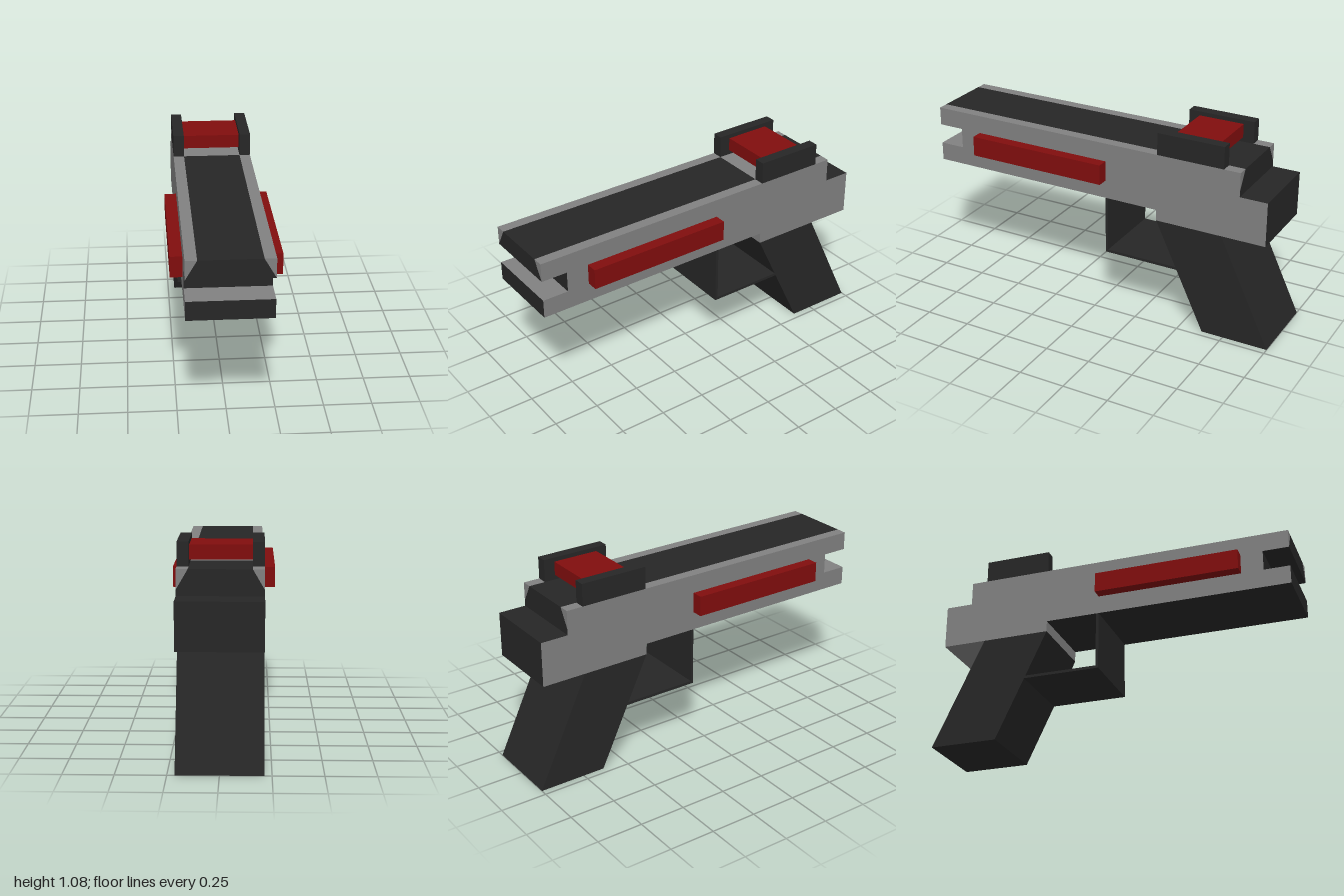
import * as THREE from 'three';

const grey = new THREE.MeshStandardMaterial({ color: 0x808080, flatShading: true });
const dark = new THREE.MeshStandardMaterial({ color: 0x262626, flatShading: true });
const red = new THREE.MeshStandardMaterial({ color: 0x800d0d, flatShading: true });
const W = 0.213; // half width of the body
const T = 0.155; // half width of the top strip

export function createModel() {
  const model = new THREE.Group();

  const add = (name, geometry, material, parent = model) => {
    const mesh = new THREE.Mesh(geometry, material);
    mesh.name = name;
    parent.add(mesh);
    return mesh;
  };

  // Box given by its limits on each axis
  const box = (name, material, [x0, x1], [y0, y1], [z0, z1]) =>
    add(name, new THREE.BoxGeometry(x1 - x0, y1 - y0, z1 - z0), material)
      .position.set((x0 + x1) / 2, (y0 + y1) / 2, (z0 + z1) / 2);

  // Outline in x and y, extruded between two depths
  const prism = (name, material, points, z0, z1) => {
    const shape = new THREE.Shape(points.map(([x, y]) => new THREE.Vector2(x, y)));
    const geometry = new THREE.ExtrudeGeometry(shape, { depth: z1 - z0, bevelEnabled: false });
    return add(name, geometry.translate(0, 0, z0), material);
  };

  // Side outline as [z, y], with the colour of the wall that leaves each corner
  const frame = new THREE.Group();
  frame.name = 'frame';
  model.add(frame);
  const outline = [
    [1, 0.65, dark], [-0.35, 0.65, grey], [-0.35, 0.59, grey], [-0.96, 0.59, dark],
    [-0.96, 0.83, dark], [-0.81, 0.83, dark], [-0.81, 0.86, dark], [0.86, 0.86, dark],
    [0.86, 0.75, grey], [1, 0.75, dark],
  ];
  outline.forEach(([z, y, material], i) => {
    const [z2, y2] = outline[(i + 1) % outline.length];
    const geometry = new THREE.BufferGeometry();
    geometry.setAttribute('position', new THREE.Float32BufferAttribute(
      [W, y, z, -W, y, z, -W, y2, z2, W, y2, z2], 3));
    geometry.setIndex([0, 1, 2, 0, 2, 3]);
    geometry.computeVertexNormals();
    add('frameWall', geometry, material, frame);
  });
  for (const s of [1, -1]) {
    const side = new THREE.Shape(outline.map(([z, y]) => new THREE.Vector2(-s * z, y)));
    const geometry = new THREE.ShapeGeometry(side).rotateY(s * Math.PI / 2).translate(s * W, 0, 0);
    add('frameSide', geometry, grey, frame);
  }

  // Slide: dark tapered core, grey under the sight, with grey corner strips
  const core = [[-W, 0.86], [W, 0.86], [T, 0.96], [-T, 0.96]];
  prism('slideFront', dark, core, -0.35, 1);
  prism('slideMiddle', grey, core, -0.52, -0.35);
  prism('slideRear', dark, core, -0.81, -0.52);

  for (const s of [1, -1]) {
    const span = (a, b) => (s > 0 ? [a, b] : [-b, -a]);
    prism('slideEdge', grey, [[s * W, 0.86], [s * W, 0.96], [s * T, 0.96]], -0.81, 1);
    box('sightRail', dark, span(T, W), [0.96, 1.08], [-0.72, -0.35]);
    box('sideBar', red, span(W, 0.275), [0.75, 0.86], [-0.05, 0.74]);
  }
  box('sightBlock', red, [-T, T], [0.985, 1.058], [-0.66, -0.41]);

  // Slanted grip, drawn from the side and turned to run across x
  prism('grip', dark, [[0.35, 0.59], [0.63, 0], [1, 0], [0.72, 0.59]], -W, W)
    .geometry.rotateY(Math.PI / 2);

  // Full-width trigger guard
  box('guardFront', dark, [-W, W], [0.33, 0.65], [-0.065, -0.05]);
  box('guardBottom', dark, [-W, W], [0.33, 0.345], [-0.48, -0.065]);

  return model;
}
